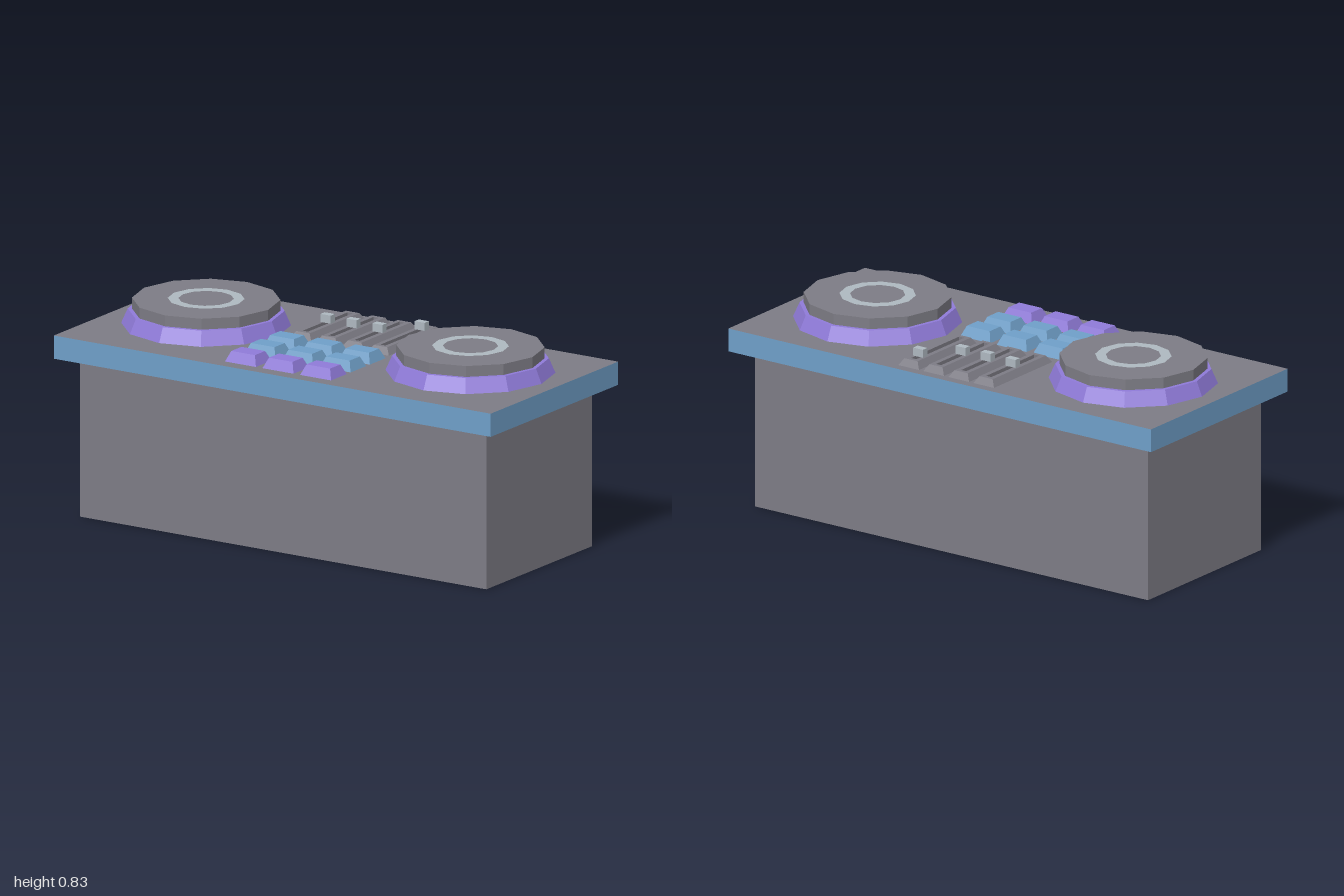
import * as THREE from 'three';

const mat = (name, color, side = THREE.FrontSide) => {
  const m = new THREE.MeshStandardMaterial({ color, side });
  m.name = name;
  return m;
};

// Box with base at y = 0 whose top face is scaled to a smaller size
function frustum(w, d, h, topW, topD) {
  const g = new THREE.BoxGeometry(w, h, d).translate(0, h / 2, 0);
  const p = g.attributes.position;
  for (let i = 0; i < p.count; i++) {
    if (p.getY(i) > h / 2) p.setXYZ(i, p.getX(i) * topW / w, h, p.getZ(i) * topD / d);
  }
  g.computeVertexNormals();
  return g;
}

// Flat-shaded cylinder with base at y = 0
function faceted(rTop, rBottom, h, sides, open = false) {
  const g = new THREE.CylinderGeometry(rTop, rBottom, h, sides, 1, open).translate(0, h / 2, 0).toNonIndexed();
  g.computeVertexNormals();
  return g;
}

// Sloping slider housing with a sunken slot along its top
function sliderHousing(w, d, h, topW, topD, slotW, slotD, depth) {
  const rings = [[w, d, 0], [topW, topD, h], [slotW, slotD, h], [slotW, slotD, h - depth]];
  const corners = rings.map(([rw, rd, y]) =>
    [[-1, 1], [1, 1], [1, -1], [-1, -1]].map(([sx, sz]) => [sx * rw / 2, y, sz * rd / 2]));
  const pos = [];
  const quad = (a, b, c, e) => pos.push(...a, ...b, ...c, ...a, ...c, ...e);
  for (let r = 0; r < 3; r++) {
    for (let i = 0; i < 4; i++) {
      const j = (i + 1) % 4;
      quad(corners[r][i], corners[r][j], corners[r + 1][j], corners[r + 1][i]);
    }
  }
  quad(...corners[3]);
  const g = new THREE.BufferGeometry();
  g.setAttribute('position', new THREE.Float32BufferAttribute(pos, 3));
  g.computeVertexNormals();
  return g;
}

export function createModel() {
  const model = new THREE.Group();
  model.name = 'mixingDesk';
  const grey = mat('grey', 0x7d7c85);
  const greyShell = mat('greyShell', 0x7d7c85, THREE.DoubleSide);
  const blue = mat('blue', 0x6f9fc8);
  const purple = mat('purple', 0x8f7ad8);
  const silver = mat('silver', 0xaeb8c0);

  const add = (parent, name, geometry, material, x, y, z) => {
    const mesh = new THREE.Mesh(geometry, material);
    mesh.name = name;
    mesh.position.set(x, y, z);
    parent.add(mesh);
    return mesh;
  };

  const deckY = 0.725;

  // Hollow stand, open underneath
  const stand = faceted(Math.SQRT1_2, Math.SQRT1_2, 0.633, 4, true).rotateY(Math.PI / 4).scale(1.86, 1, 0.73);
  stand.computeVertexNormals();
  add(model, 'stand', stand, greyShell, 0, 0, 0);

  // Tabletop with a blue edge
  add(model, 'tabletop', new THREE.BoxGeometry(2, 0.092, 0.882),
    [blue, blue, grey, grey, blue, blue], 0, 0.679, 0);

  // Turntables
  for (const side of [-1, 1]) {
    const deck = new THREE.Group();
    deck.name = side > 0 ? 'leftTurntable' : 'rightTurntable';
    deck.position.set(side * 0.605, deckY, -0.016);
    model.add(deck);
    add(deck, 'turntableBase', faceted(0.3, 0.325, 0.057, 12), purple, 0, 0, 0);
    add(deck, 'platter', faceted(0.284, 0.284, 0.043, 12), grey, 0, 0.057, 0);
    add(deck, 'platterRing', new THREE.RingGeometry(0.106, 0.147, 12).rotateX(-Math.PI / 2),
      silver, 0, 0.1015, 0);
  }

  // Sliders, the last one pushed further back
  [-0.18, -0.062, 0.057, 0.175].forEach((x, i) => {
    const slider = new THREE.Group();
    slider.name = 'slider' + (i + 1);
    slider.position.set(x, deckY, -0.215);
    model.add(slider);
    add(slider, 'sliderHousing', sliderHousing(0.098, 0.376, 0.027, 0.062, 0.344, 0.024, 0.31, 0.015),
      grey, 0, 0, 0);
    add(slider, 'sliderKnob', new THREE.BoxGeometry(0.046, 0.032, 0.029),
      silver, 0, 0.043, i === 3 ? -0.113 : 0);
  });

  // Pads: two blue rows and a purple front row
  [0.064, 0.197, 0.332].forEach((z, row) => {
    for (const x of [-0.182, -0.01, 0.162]) {
      add(model, 'pad', frustum(0.142, 0.108, 0.04, 0.108, 0.07), row === 2 ? purple : blue, x, deckY, z);
    }
  });

  return model;
}
